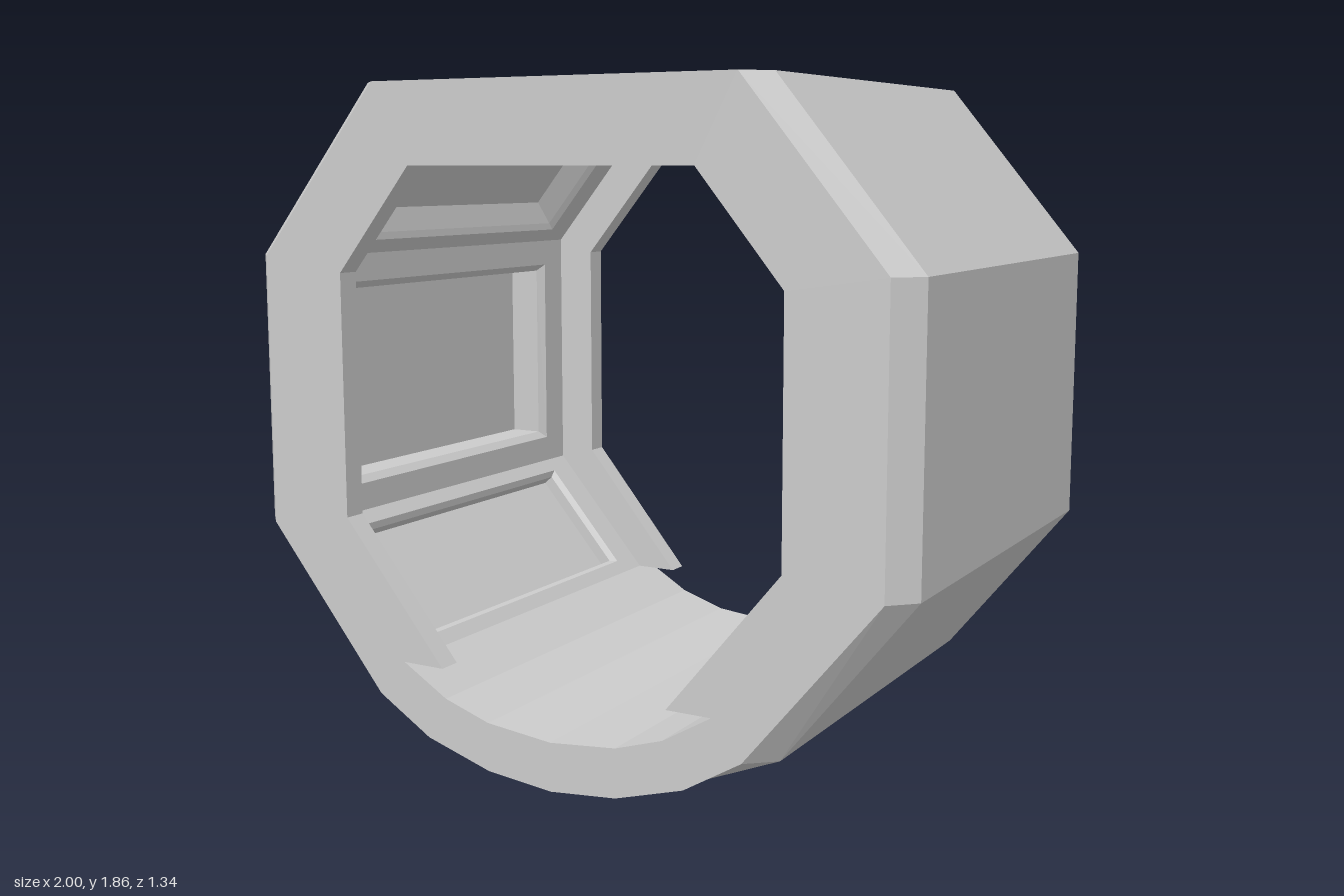
import * as THREE from 'three';

const END = 0.67;   // half depth at the end faces
const RIM = 0.605;  // half depth where chamfer and rim begin

// Half profiles run from bottom centre up the +x side; full() mirrors them.
const full = (half) => [
  ...half,
  ...half.filter(([x]) => x > 0).reverse().map(([x, y]) => [-x, y]),
];
const bottom = [[0, 0], [0.2, 0.02], [0.4, 0.08]];
const floorArc = [[0, 0.135], [0.2, 0.155], [0.34, 0.2], [0.48, 0.283]];
const outer = full([...bottom, [0.64, 0.18], [1, 0.63], [1, 1.39], [0.61, 1.86]]);
const outerEnd = full([...bottom, [0.565, 0.18], [0.935, 0.63], [0.935, 1.39], [0.545, 1.86]]);
const lip = [[0.35, 0.283], [0.67, 0.67], [0.67, 1.35], [0.43, 1.64]];
const opening = full([...floorArc, ...lip]);
const liner = [[0.48, 0.283], [0.79, 0.64], [0.79, 1.39], [0.5, 1.74]];

const material = new THREE.MeshStandardMaterial({ color: 0xcccccc, flatShading: true });

function addMesh(group, name, geometry) {
  const mesh = new THREE.Mesh(geometry, material);
  mesh.name = name;
  group.add(mesh);
  return mesh;
}

function quadGeometry(quads) {
  const pos = [];
  for (const [a, b, c, d] of quads) pos.push(...a, ...b, ...c, ...a, ...c, ...d);
  const g = new THREE.BufferGeometry();
  g.setAttribute('position', new THREE.Float32BufferAttribute(pos, 3));
  g.computeVertexNormals();
  return g;
}

// Surface between two profiles; faces outward when zA < zB, inward otherwise.
function band(pA, zA, pB, zB, closed = true) {
  const quads = [];
  const n = pA.length;
  for (let i = 0; i < (closed ? n : n - 1); i++) {
    const j = (i + 1) % n;
    quads.push([[...pA[i], zA], [...pA[j], zA], [...pB[j], zB], [...pB[i], zB]]);
  }
  return quadGeometry(quads);
}

// Inner wall from p to q, stepped through rings of [edge inset, end inset, depth].
function wallPanel(p, q, steps) {
  const len = Math.hypot(q[0] - p[0], q[1] - p[1]);
  const dx = (q[0] - p[0]) / len, dy = (q[1] - p[1]) / len;
  const rings = steps.map(([u, v, d]) => {
    const at = (t, z) => [p[0] + dx * t + dy * d, p[1] + dy * t - dx * d, z];
    const z = RIM - v;
    return [at(u, z), at(len - u, z), at(len - u, -z), at(u, -z)];
  });
  const quads = [rings[rings.length - 1]];
  for (let k = 0; k + 1 < rings.length; k++) {
    for (let i = 0; i < 4; i++) {
      const j = (i + 1) % 4;
      quads.push([rings[k][i], rings[k][j], rings[k + 1][j], rings[k + 1][i]]);
    }
  }
  return quadGeometry(quads);
}

const toVectors = (pts) => pts.map(([x, y]) => new THREE.Vector2(x, y));

export function createModel() {
  const group = new THREE.Group();
  group.name = 'tunnelSection';

  // Outer shell
  addMesh(group, 'outerShell', band(outer, -RIM, outer, RIM));

  // Chamfers, end faces and the projecting rims
  const face = new THREE.Shape(toVectors(outerEnd));
  face.holes.push(new THREE.Path(toVectors(opening)));
  const mirrored = (pts) => pts.map(([x, y]) => [-x, y]);
  const rimBack = new THREE.Shape(toVectors([
    ...liner, ...mirrored(liner).reverse(),
    ...mirrored(lip), ...[...lip].reverse(),
  ]));
  for (const side of [1, -1]) {
    const end = new THREE.Group();
    end.name = side > 0 ? 'frontEnd' : 'backEnd';
    addMesh(end, 'chamfer', band(outer, RIM, outerEnd, END));
    addMesh(end, 'endFace', new THREE.ShapeGeometry(face)).position.z = END;
    addMesh(end, 'rimInside', band(opening, END, opening, RIM));
    const back = addMesh(end, 'rimBack', new THREE.ShapeGeometry(rimBack));
    back.rotation.y = Math.PI;
    back.position.z = RIM;
    if (side < 0) end.rotation.y = Math.PI;
    group.add(end);
  }

  // Curved floor
  const floor = [...mirrored(floorArc.slice(1)).reverse(), ...floorArc];
  addMesh(group, 'floor', band(floor, RIM, floor, -RIM, false));

  // Plain ceiling and recessed wall panels on both sides
  addMesh(group, 'ceiling', wallPanel(liner[3], [-liner[3][0], liner[3][1]], [[0, 0, 0]]));
  const panels = [
    ['lowerWall', [[0, 0, 0], [0.045, 0.1, 0], [0.06, 0.115, 0.015], [0.06, 0.115, 0.05]]],
    ['sideWall', [[0, 0, 0], [0.08, 0.1, 0], [0.1, 0.12, 0.02], [0.1, 0.12, 0.12]]],
    ['upperWall', [[0, 0, 0], [0.05, 0.1, 0], [0.065, 0.115, 0.015], [0.11, 0.16, 0.07]]],
  ];
  panels.forEach(([name, steps], i) => {
    const geometry = wallPanel(liner[i], liner[i + 1], steps);
    addMesh(group, name + 'Left', geometry);
    addMesh(group, name + 'Right', geometry).rotation.y = Math.PI;
  });

  return group;
}
